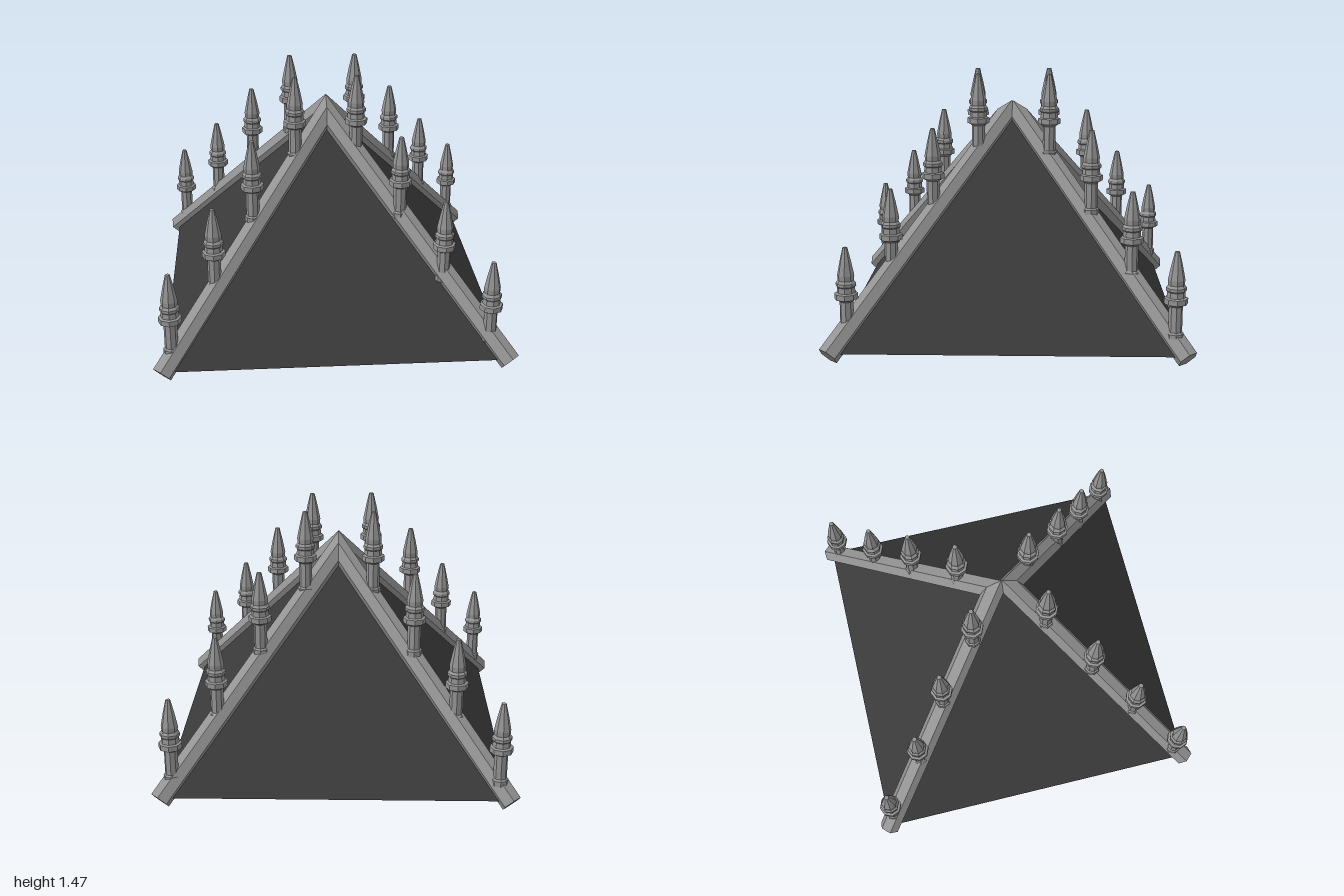
import * as THREE from 'three';

const BASE = 0.95, EAVE = 0.05, APEX = 1.2;

// Hexagonal beam from a corner to the peak, mitred on the plane x = 0
function beamGeometry(a, b, r) {
  const d = b.clone().sub(a).normalize();
  const lat = d.clone().cross(new THREE.Vector3(0, 1, 0)).normalize();
  const up = lat.clone().cross(d);
  const p = [], q = [], pos = [];
  for (let k = 0; k < 6; k++) {
    const t = (k * Math.PI) / 3;
    const v = a.clone().addScaledVector(lat, r * Math.cos(t)).addScaledVector(up, r * Math.sin(t));
    p.push(v);
    q.push(v.clone().addScaledVector(d, -v.x / d.x));
  }
  const tri = (...vs) => vs.forEach((v) => pos.push(v.x, v.y, v.z));
  for (let k = 0; k < 6; k++) {
    const n = (k + 1) % 6;
    tri(p[k], q[k], q[n]);
    tri(p[k], q[n], p[n]);
    tri(a, p[k], p[n]);
  }
  const g = new THREE.BufferGeometry();
  g.setAttribute('position', new THREE.Float32BufferAttribute(pos, 3));
  g.computeVertexNormals();
  return g;
}

// Four-sided open pyramid with its base at the eaves
function pyramidGeometry(half, top) {
  const h = top - EAVE;
  const g = new THREE.ConeGeometry(half * Math.SQRT2, h, 4, 1, true);
  g.rotateY(Math.PI / 4);
  g.translate(0, EAVE + h / 2, 0);
  return g;
}

export function createModel() {
  const model = new THREE.Group();
  model.name = 'spiredRoof';
  const slate = new THREE.MeshStandardMaterial({ color: 0x3a3a3a, flatShading: true, side: THREE.DoubleSide });
  slate.name = 'dark slate';
  const stone = new THREE.MeshStandardMaterial({ color: 0x949494, flatShading: true });
  stone.name = 'grey stone';
  const paleStone = new THREE.MeshStandardMaterial({ color: 0xb8b8b8, flatShading: true });
  paleStone.name = 'pale stone';

  const add = (name, geometry, material, parent = model) => {
    const m = new THREE.Mesh(geometry, material);
    m.name = name;
    parent.add(m);
    return m;
  };

  // Roof slopes and hollow underside
  add('roofSlopes', pyramidGeometry(BASE, APEX), slate);
  const inner = 0.75;
  add('roofInterior', pyramidGeometry(inner, 0.96), slate);

  // Flat rim under the eaves, facing down
  const square = (path, s) => path.moveTo(-s, -s).lineTo(s, -s).lineTo(s, s).lineTo(-s, s).closePath();
  const rim = square(new THREE.Shape(), BASE);
  rim.holes.push(square(new THREE.Path(), inner));
  add('eavesRim', new THREE.ShapeGeometry(rim).rotateX(Math.PI / 2).translate(0, EAVE, 0), paleStone);

  // Pinnacle: foot, shaft, collar, band and spire (y = 0 at the collar top)
  const profile = [
    [0, -0.225], [0.046, -0.225], [0.046, -0.195], [0.037, -0.185], [0.037, -0.045], [0.05, -0.035],
    [0.064, -0.03], [0.064, 0], [0.05, 0.005], [0.048, 0.035], [0.055, 0.042], [0.055, 0.058],
    [0.044, 0.072], [0.046, 0.1], [0.031, 0.175], [0.013, 0.252], [0, 0.254],
  ].map(([x, y]) => new THREE.Vector2(x, y));
  const pinnacle = new THREE.LatheGeometry(profile, 8);
  const collarHeights = [0.36, 0.63, 0.93, 1.213];

  // Ridges: side signs, peak offset, and pinnacle positions from corner to peak
  const ridges = [
    { name: 'frontLeft', sx: 1, sz: 1, peak: 0.042, x: [0.85, 0.615, 0.39, 0.16], z: [0.865, 0.65, 0.435, 0.19] },
    { name: 'frontRight', sx: -1, sz: 1, peak: 0.042, x: [0.9, 0.66, 0.44, 0.19], z: [0.885, 0.66, 0.44, 0.21] },
    { name: 'backLeft', sx: 1, sz: -1, peak: 0.047, x: [0.893, 0.66, 0.43, 0.185], z: [0.89, 0.67, 0.455, 0.22] },
    { name: 'backRight', sx: -1, sz: -1, peak: 0.047, x: [0.89, 0.66, 0.43, 0.2], z: [0.905, 0.67, 0.46, 0.22] },
  ];
  for (const { name, sx, sz, peak, x, z } of ridges) {
    const ridge = new THREE.Group();
    ridge.name = name + 'Ridge';
    model.add(ridge);
    const corner = new THREE.Vector3(sx * 0.955, 0.04, sz * 0.955);
    const top = new THREE.Vector3(0, 1.2, sz * peak);
    add(name + 'Beam', beamGeometry(corner, top, 0.06), stone, ridge);
    collarHeights.forEach((y, i) => {
      add(name + 'Pinnacle' + (i + 1), pinnacle, stone, ridge).position.set(sx * x[i], y, sz * z[i]);
    });
  }
  return model;
}
